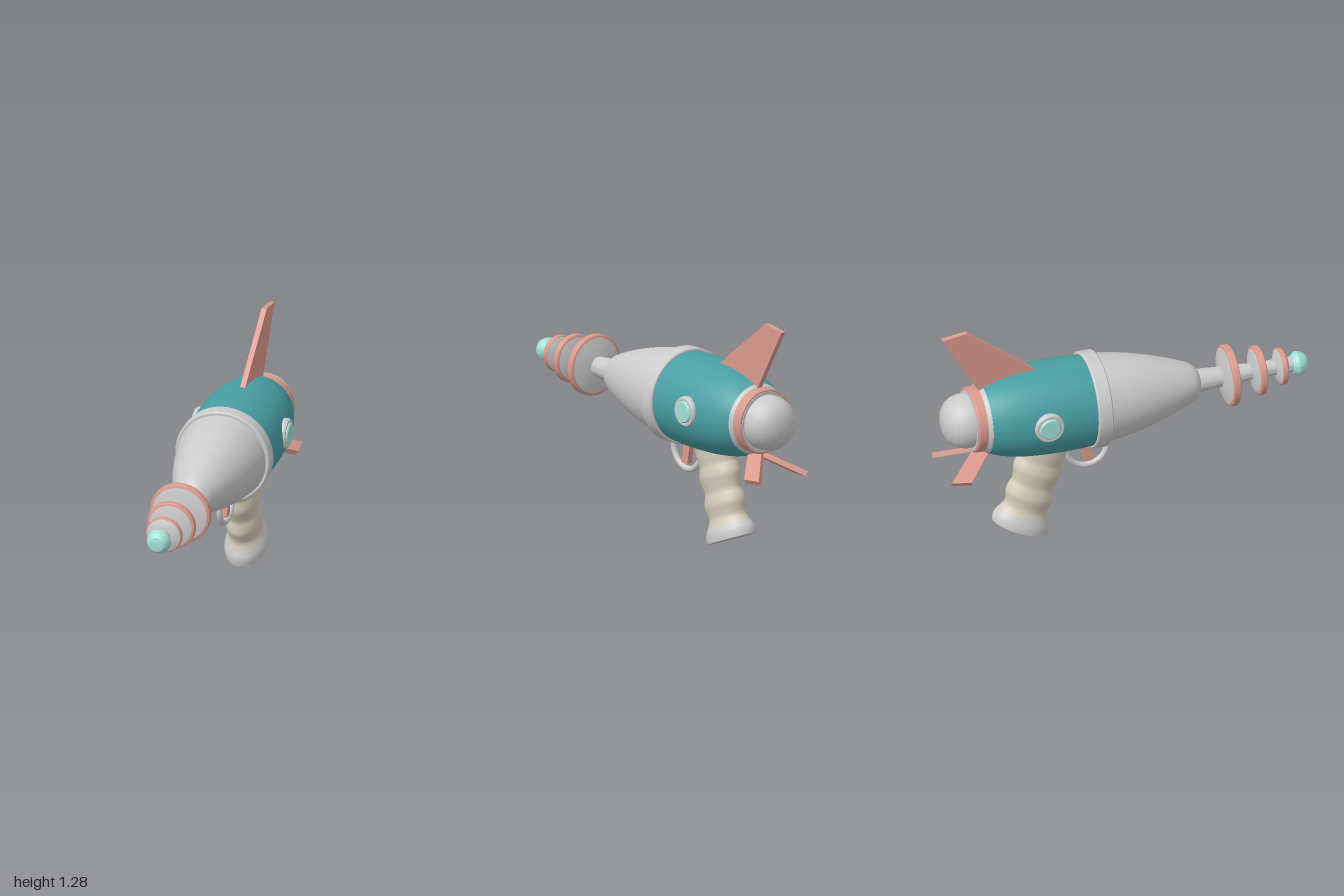
import * as THREE from 'three';
import { toCreasedNormals } from 'three/addons/utils/BufferGeometryUtils.js';

const AXIS_Y = 0.762;
const mat = (color) => new THREE.MeshStandardMaterial({ color });
const grey = mat(0xcccccc);
const teal = mat(0x489fa4);
const coral = mat(0xdb9a8d);
const mint = mat(0xa2e2d8);
const cream = mat(0xd6cdbb);

export function createModel() {
  const model = new THREE.Group();

  const add = (name, geometry, material) => {
    const mesh = new THREE.Mesh(geometry, material);
    mesh.name = name;
    model.add(mesh);
    return mesh;
  };

  const lathe = (points, segments = 56) =>
    new THREE.LatheGeometry(points.map(([r, y]) => new THREE.Vector2(r, y)), segments);

  const smooth = (points, n) =>
    new THREE.SplineCurve(points.map(([r, z]) => new THREE.Vector2(r, z))).getPoints(n).map((p) => [p.x, p.y]);

  // Turned part along the barrel axis; points are [radius, z] with z rising
  const turned = (name, points, material) => {
    const geometry = toCreasedNormals(lathe(points).rotateX(Math.PI / 2), 0.45);
    add(name, geometry, material).position.y = AXIS_Y;
  };

  // Flat plate in the side plane; points are [z, y]
  const plate = (points, thickness) => {
    const shape = new THREE.Shape(points.map(([z, y]) => new THREE.Vector2(-z, y)));
    return new THREE.ExtrudeGeometry(shape, { depth: thickness, bevelEnabled: false })
      .translate(0, 0, -thickness / 2)
      .rotateY(Math.PI / 2);
  };

  // Body, from rear to front
  turned('rearDome', [[0, -1], [0.045, -0.998], [0.085, -0.985], [0.115, -0.962], [0.135, -0.93],
    [0.145, -0.89], [0.145, -0.855], [0.16, -0.855], [0.16, -0.84]], grey);
  turned('rearCoralRing', [[0.14, -0.852], [0.168, -0.852], [0.174, -0.845], [0.174, -0.8], [0.168, -0.793], [0.14, -0.793]], coral);
  turned('rearCollar', [[0.14, -0.8], [0.176, -0.8], [0.188, -0.778], [0.188, -0.77]], grey);
  turned('rearBody', smooth([[0.187, -0.78], [0.216, -0.7], [0.235, -0.6], [0.244, -0.5], [0.247, -0.4],
    [0.246, -0.3], [0.241, -0.2]], 28), teal);
  turned('middleBand', [[0.22, -0.22], [0.251, -0.22], [0.257, -0.213], [0.257, -0.147], [0.251, -0.14], [0.22, -0.14]], grey);
  turned('noseCone', [
    ...smooth([[0.239, -0.15], [0.228, -0.07], [0.214, 0.01], [0.193, 0.1], [0.164, 0.2], [0.13, 0.295], [0.1, 0.365]], 24),
    [0.082, 0.388], [0.062, 0.402], [0.053, 0.53], [0.052, 0.56]], grey);
  turned('barrel', [[0.05, 0.53], [0.05, 0.62], [0.042, 0.7], [0.042, 0.93], [0, 0.93]], grey);

  // Cooling discs: double cone with a coloured rim
  for (const [z, r, half, rim] of [[0.572, 0.163, 0.045, 0.018], [0.732, 0.13, 0.038, 0.016], [0.858, 0.097, 0.032, 0.014]]) {
    turned('coolingDisc', [[0.03, z - half], [0.055, z - half], [r - 0.004, z - rim],
      [r - 0.004, z + rim], [0.055, z + half], [0.03, z + half]], grey);
    turned('coolingDiscRim', [[r - 0.015, z - rim - 0.004], [r - 0.003, z - rim], [r, z - rim + 0.004],
      [r, z + rim - 0.004], [r - 0.003, z + rim], [r - 0.015, z + rim + 0.004]], coral);
  }
  turned('muzzleTip', [[0, 0.918], [0.046, 0.918], [0.062, 0.938], [0.065, 0.946], [0.061, 0.966],
    [0.05, 0.988], [0.04, 0.996], [0.02, 1], [0, 1]], mint);

  // Tail fins
  add('topFin', plate([[-0.46, 0.98], [-0.497, 1.01], [-0.865, 1.295], [-1, 1.275], [-0.8, 0.93], [-0.7, 0.9]], 0.028), coral);
  for (const side of [-1, 1]) {
    const fin = add('lowerFin', plate([[-0.72, 0], [-0.893, 0.2], [-1, 0.185], [-0.8, -0.03]], 0.028), coral);
    fin.position.y = 0.583;
    fin.rotation.z = side * THREE.MathUtils.degToRad(122);
  }

  // Round side windows
  for (const side of [-1, 1]) {
    const parts = [
      ['windowFrame', [[0.055, 0.2], [0.08, 0.2], [0.08, 0.245], [0.074, 0.255], [0.06, 0.255], [0.057, 0.235]], grey],
      ['windowGlass', [[0.058, 0.2], [0.058, 0.258], [0.052, 0.264], [0, 0.265]], mint],
    ];
    for (const [name, points, material] of parts) {
      const geometry = toCreasedNormals(lathe(points, 36).rotateZ(-side * Math.PI / 2), 0.5);
      add(name, geometry, material).position.set(0, 0.78, -0.488);
    }
  }

  // Grip: oval turned sections, leaning back and slightly sheared
  const gripPart = (name, points, material) => {
    const geometry = lathe(points, 48).scale(1, 1, 1.43);
    const p = geometry.attributes.position;
    for (let i = 0; i < p.count; i++) p.setZ(i, p.getZ(i) - 0.1 * p.getY(i));
    const mesh = add(name, toCreasedNormals(geometry, 0.6), material);
    mesh.position.set(0, 0.07, -0.573);
    mesh.rotation.x = THREE.MathUtils.degToRad(22);
  };
  gripPart('gripBase', [[0, 0], [0.112, 0], [0.114, 0.03], [0.108, 0.055], [0.097, 0.078]], grey);
  gripPart('grip', smooth([[0.097, 0.078], [0.085, 0.115], [0.088, 0.15], [0.094, 0.185], [0.09, 0.22], [0.083, 0.255],
    [0.088, 0.295], [0.094, 0.335], [0.09, 0.37], [0.085, 0.4], [0.09, 0.44], [0.093, 0.5], [0.093, 0.56]], 48), cream);

  // Trigger and its ring guard
  const guard = add('triggerGuard', new THREE.TorusGeometry(0.112, 0.016, 16, 56), grey);
  guard.rotation.y = Math.PI / 2;
  guard.position.set(0, 0.481, -0.205);
  add('trigger', plate([[-0.2, 0.56], [-0.175, 0.4], [-0.222, 0.4], [-0.25, 0.56]], 0.03), coral);

  return model;
}
